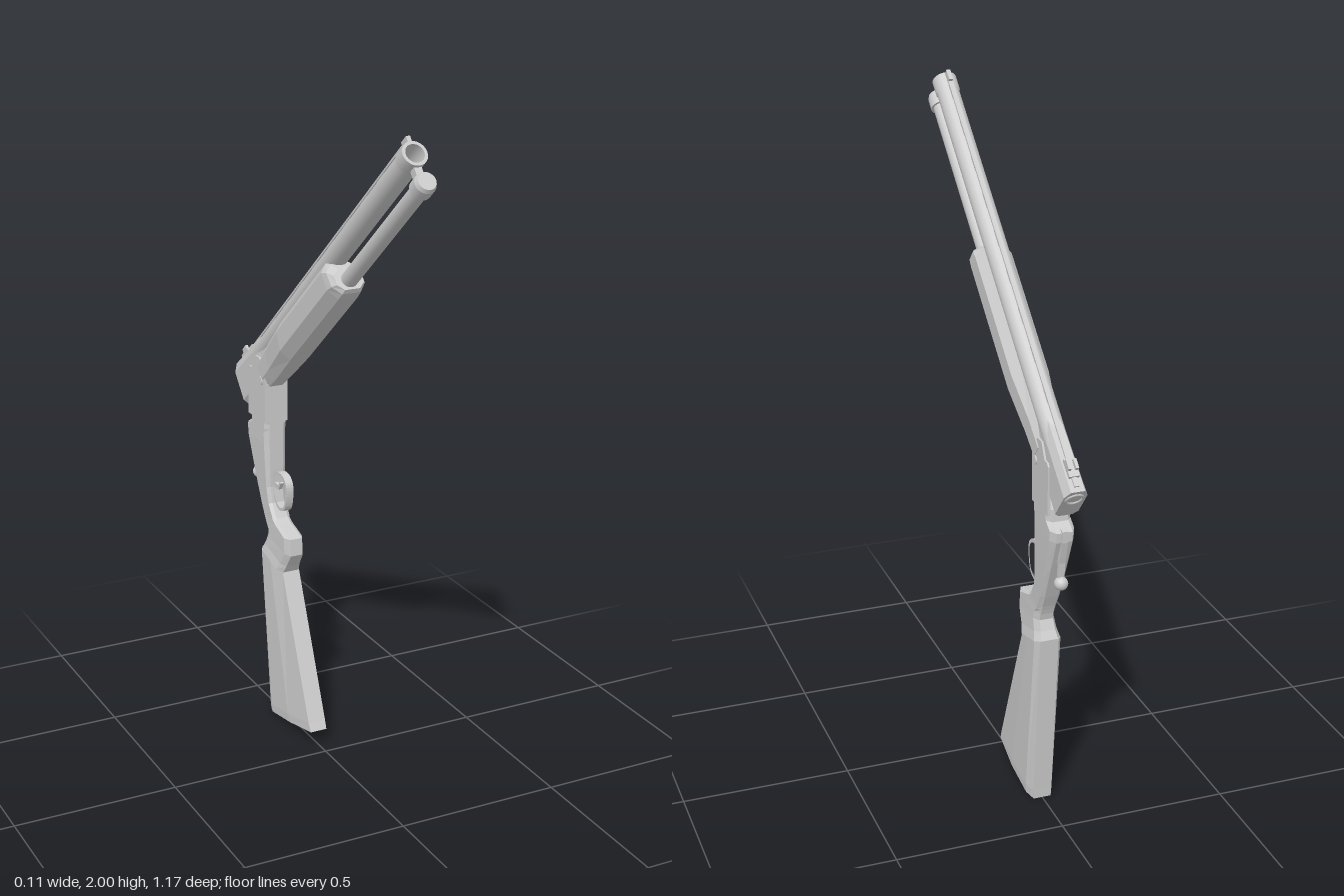
import * as THREE from 'three';

const smooth = new THREE.MeshStandardMaterial({ color: 0xcccccc });
const flat = new THREE.MeshStandardMaterial({ color: 0xcccccc, flatShading: true });
const open = new THREE.MeshStandardMaterial({ color: 0xcccccc, side: THREE.DoubleSide });

function add(group, name, geometry, material, x = 0, y = 0, z = 0) {
  const mesh = new THREE.Mesh(geometry, material);
  mesh.name = name;
  mesh.position.set(x, y, z);
  group.add(mesh);
  return mesh;
}

// Chamfered eight-sided loft, listed from top to bottom.
// Section: [front z, front y, back z, back y, half width]
function loft(sections, frontCut = 0.2, backCut = 0.15, narrow = 0.65) {
  const pos = [], idx = [], n = 8;
  for (const [zf, yf, zb, yb, w] of sections) {
    const half = [[w * narrow, 0], [w, frontCut], [w, 1 - backCut], [w * narrow, 1]];
    const ring = [...half, ...half.slice().reverse().map(([x, k]) => [-x, k])];
    for (const [x, k] of ring) pos.push(x, yf + (yb - yf) * k, zf + (zb - zf) * k);
  }
  const last = (sections.length - 1) * n;
  for (let i = 0; i < last; i += n) {
    for (let j = 0; j < n; j++) {
      const a = i + j, b = i + (j + 1) % n;
      idx.push(a + n, b + n, b, a + n, b, a);
    }
  }
  for (let j = 1; j < n - 1; j++) idx.push(0, j, j + 1, last, last + j + 1, last + j);
  const g = new THREE.BufferGeometry();
  g.setAttribute('position', new THREE.Float32BufferAttribute(pos, 3));
  g.setIndex(idx);
  g.computeVertexNormals();
  return g;
}

// Side outline in (z, y), extruded across x and centred
function plate(shape, width, curveSegments = 8) {
  const g = new THREE.ExtrudeGeometry(shape, { depth: width, bevelEnabled: false, curveSegments });
  g.translate(0, 0, -width / 2);
  g.rotateY(-Math.PI / 2);
  return g;
}
const outline = (pts) => new THREE.Shape(pts.map(([z, y]) => new THREE.Vector2(z, y)));
const profile = (pts) => pts.map(([r, y]) => new THREE.Vector2(r, y));

function createBarrels() {
  // Local +y points to the muzzle, local -z is the sighting side
  const g = new THREE.Group();
  g.name = 'barrelAssembly';
  g.position.set(0, 1.96, 0.51);
  g.rotation.x = THREE.MathUtils.degToRad(49.7);

  // Hollow upper barrel with a muzzle band
  add(g, 'upperBarrel', new THREE.LatheGeometry(profile([
    [0.033, -1.39], [0.033, -0.045], [0.036, -0.045], [0.036, 0], [0.036, 0],
    [0.027, 0], [0.027, 0], [0.027, -0.2], [0, -0.2]]), 24), open);

  // Slimmer lower tube with an end cap
  add(g, 'lowerTube', new THREE.CylinderGeometry(0.024, 0.024, 0.62, 20), smooth, 0, -0.31, 0.087);
  add(g, 'tubeCap', new THREE.CylinderGeometry(0.026, 0.031, 0.012, 20), smooth, 0, 0.006, 0.087);
  add(g, 'tubeCollar', new THREE.CylinderGeometry(0.031, 0.031, 0.035, 20), smooth, 0, -0.0175, 0.087);
  add(g, 'muzzleLink', new THREE.BoxGeometry(0.022, 0.025, 0.04), smooth, 0, -0.022, 0.05);

  // Ventilated rib
  add(g, 'rib', new THREE.BoxGeometry(0.014, 1.34, 0.006), smooth, 0, -0.71, -0.043);
  for (let i = 0; i < 11; i++) {
    add(g, 'ribPost', new THREE.BoxGeometry(0.01, 0.05, 0.014), smooth, 0, -0.07 - i * 0.128, -0.036);
  }
  add(g, 'frontSight', new THREE.BoxGeometry(0.012, 0.034, 0.024), smooth, 0, -0.022, -0.042);
  add(g, 'rearSightBase', new THREE.BoxGeometry(0.03, 0.055, 0.026), smooth, 0, -1.325, -0.038);
  for (const s of [-1, 1]) {
    add(g, 'rearSightEar', new THREE.BoxGeometry(0.009, 0.03, 0.016), smooth, s * 0.0105, -1.32, -0.055);
  }

  // Fore-end
  add(g, 'foreEnd', loft([
    [0.117, -0.548, 0.052, -0.552, 0.042],
    [0.123, -0.562, 0.025, -0.572, 0.052],
    [0.125, -0.59, 0.008, -0.595, 0.055],
    [0.125, -1.0, 0.008, -0.98, 0.055],
    [0.123, -1.14, 0.012, -1.12, 0.043],
    [0.119, -1.21, 0.02, -1.21, 0.04]], 0.28, 0.25, 0.55), flat);

  // Breech block with chamber and latch recess
  add(g, 'breechBlock', loft([
    [0.09, -1.15, -0.02, -1.12, 0.026],
    [0.097, -1.2, -0.034, -1.2, 0.032],
    [0.097, -1.395, -0.042, -1.395, 0.034]], 0.12, 0.2, 0.6), flat);
  add(g, 'chamberRim', new THREE.TorusGeometry(0.024, 0.004, 6, 24).rotateX(Math.PI / 2), smooth, 0, -1.395, 0);
  add(g, 'lockingLug', new THREE.BoxGeometry(0.024, 0.035, 0.016), smooth, 0, -1.36, 0.1);
  return g;
}

function createAction() {
  const g = new THREE.Group();
  g.name = 'action';

  // Receiver body flowing into the grip
  add(g, 'receiver', loft([
    [-0.336, 0.985, -0.452, 0.985, 0.036],
    [-0.336, 0.95, -0.455, 0.95, 0.036],
    [-0.336, 0.935, -0.49, 0.93, 0.036],
    [-0.336, 0.9, -0.487, 0.9, 0.036],
    [-0.336, 0.82, -0.452, 0.82, 0.034],
    [-0.337, 0.76, -0.42, 0.75, 0.032],
    [-0.328, 0.71, -0.393, 0.69, 0.03],
    [-0.3, 0.668, -0.374, 0.652, 0.029]], 0.1, 0.15), flat);

  // Side walls, floor and hinge of the open action
  const wall = outline([[-0.336, 0.97], [-0.456, 0.97], [-0.456, 1.115], [-0.447, 1.125],
    [-0.43, 1.125], [-0.405, 1.17], [-0.375, 1.17], [-0.336, 1.14]]);
  for (const s of [-1, 1]) {
    add(g, 'sideWall', plate(wall, 0.008), smooth, s * 0.034);
    const pin = add(g, 'hingePin', new THREE.CylinderGeometry(0.013, 0.013, 0.006, 16), smooth, s * 0.039, 1.1, -0.362);
    pin.rotation.z = Math.PI / 2;
  }
  add(g, 'actionFloor', new THREE.BoxGeometry(0.062, 0.13, 0.026), smooth, 0, 1.03, -0.349);

  // Trigger and guard
  const loop = [[-0.338, 0.735], [-0.337, 0.8], [-0.308, 0.818], [-0.27, 0.817],
    [-0.246, 0.795], [-0.246, 0.745], [-0.262, 0.708], [-0.3, 0.698]];
  const ring = (k) => new THREE.CatmullRomCurve3(
    loop.map(([z, y]) => new THREE.Vector3(-0.291 + (z + 0.291) * k, 0.758 + (y - 0.758) * k, 0)), true)
    .getPoints(40).map((p) => new THREE.Vector2(p.x, p.y));
  const guard = new THREE.Shape(ring(1));
  guard.holes.push(new THREE.Path(ring(0.83)));
  add(g, 'triggerGuard', plate(guard, 0.024), smooth);
  add(g, 'trigger', plate(outline([[-0.345, 0.775], [-0.318, 0.77], [-0.302, 0.785],
    [-0.298, 0.782], [-0.312, 0.758], [-0.345, 0.755]]), 0.012), smooth);

  // Opening lever with a ball end
  add(g, 'topLever', plate(outline([[-0.478, 0.94], [-0.495, 0.935], [-0.492, 0.9],
    [-0.473, 0.83], [-0.467, 0.78], [-0.457, 0.78], [-0.46, 0.83], [-0.474, 0.89]]), 0.018), smooth);
  add(g, 'leverBall', new THREE.SphereGeometry(0.02, 16, 12), smooth, 0, 0.766, -0.466);
  return g;
}

function createStock() {
  const g = new THREE.Group();
  g.name = 'stock';
  // Pistol grip
  add(g, 'grip', loft([
    [-0.3, 0.668, -0.374, 0.652, 0.029],
    [-0.275, 0.655, -0.368, 0.638, 0.029],
    [-0.2, 0.634, -0.362, 0.622, 0.03],
    [-0.197, 0.58, -0.357, 0.602, 0.031],
    [-0.225, 0.537, -0.37, 0.572, 0.034],
    [-0.24, 0.512, -0.384, 0.548, 0.04]], 0.15, 0.15), flat);
  // Tapered butt
  add(g, 'butt', loft([
    [-0.24, 0.512, -0.384, 0.548, 0.04],
    [-0.06, 0.075, -0.338, 0.03, 0.04],
    [-0.048, 0.05, -0.336, 0.002, 0.038]], 0.45, 0.12, 0.7), flat);
  return g;
}

export function createModel() {
  const model = new THREE.Group();
  model.name = 'breakActionGun';
  model.add(createBarrels(), createAction(), createStock());
  return model;
}
